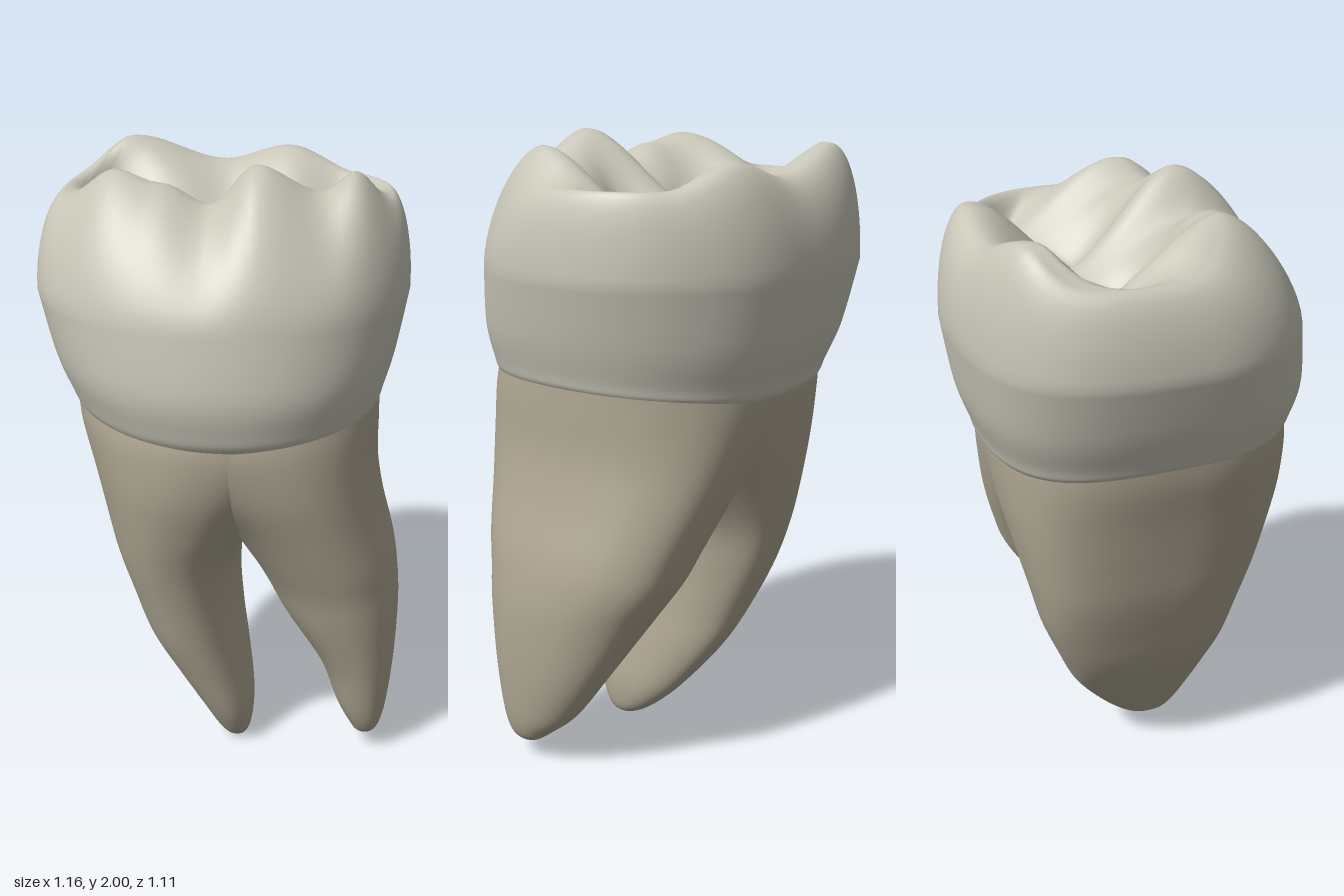
import * as THREE from 'three';

const SEG = 112;

// Rounded-box outline: row = [y, xMin, xMax, zMin, zMax], fuller at the back right corner
function outline(row, a, n0 = 2.15) {
  const [, x0, x1, z0, z1] = row;
  const c = Math.cos(a), s = Math.sin(a);
  const n = n0 + 0.75 * Math.max(0, -(c + s) * 0.707) ** 2;
  const r = (Math.abs(c) ** n + Math.abs(s) ** n) ** (-1 / n);
  return [(x0 + x1) / 2 + (x1 - x0) / 2 * r * c, (z0 + z1) / 2 + (z1 - z0) / 2 * r * s];
}

// Smooth curve through four values, between b and c
function blend(a, b, c, d, t) {
  const cubic = 3 * (b - c) + d - a;
  const square = 2 * a - 5 * b + 4 * c - d;
  return b + 0.5 * t * (c - a + t * (square + t * cubic));
}

// Smooth subdivision of a list of section rows
function refine(rows, steps) {
  const out = [];
  for (let i = 0; i < rows.length - 1; i++) {
    const p = rows[Math.max(i - 1, 0)], q = rows[i], r = rows[i + 1], s = rows[Math.min(i + 2, rows.length - 1)];
    for (let k = 0; k < steps; k++) {
      out.push(q.map((v, j) => blend(p[j], v, r[j], s[j], k / steps)));
    }
  }
  out.push(rows[rows.length - 1]);
  return out;
}

// Skin a stack of rings, bottom to top; each ring maps an angle to [x, y, z]
function skin(name, rings, color) {
  const pos = [], idx = [];
  rings.forEach((ring, i) => {
    for (let j = 0; j < SEG; j++) {
      pos.push(...ring(j / SEG * Math.PI * 2));
      if (i === rings.length - 1) continue;
      const a = i * SEG + j, b = i * SEG + (j + 1) % SEG;
      idx.push(a, a + SEG, b, b, a + SEG, b + SEG);
    }
  });
  const geo = new THREE.BufferGeometry();
  geo.setAttribute('position', new THREE.Float32BufferAttribute(pos, 3));
  geo.setIndex(idx);
  geo.computeVertexNormals();
  const mesh = new THREE.Mesh(geo, new THREE.MeshStandardMaterial({ color }));
  mesh.name = name;
  return mesh;
}

const ease = t => t * t * (3 - 2 * t);
const clamp01 = t => Math.min(1, Math.max(0, t));

// Eased lookup in a list of [x, value] knots
function lookup(knots, x) {
  let i = 0;
  while (i < knots.length - 2 && x > knots[i + 1][0]) i++;
  const [xa, va] = knots[i], [xb, vb] = knots[i + 1];
  return va + (vb - va) * ease(clamp01((x - xa) / (xb - xa)));
}

// Chewing surface: cusp crests along front and back, and a zigzag valley between
const RIM = [0, -0.5, 0.5, -0.43, 0.22];
const RIM_MID = (RIM[3] + RIM[4]) / 2;
const frontCrest = [[-0.5, 1.86], [-0.31, 1.97], [-0.18, 1.94], [-0.035, 1.885], [0.1, 2], [0.29, 1.915], [0.38, 1.965], [0.5, 1.86]];
const backCrest = [[-0.5, 1.86], [-0.33, 1.96], [-0.03, 1.88], [0.18, 1.93], [0.4, 1.86], [0.5, 1.86]];
const valleyZ = [[-0.5, -0.15], [-0.38, -0.26], [-0.15, -0.07], [0, -0.19], [0.17, -0.1], [0.38, -0.25], [0.5, -0.15]];
const valleyY = [[-0.5, 1.86], [-0.38, 1.75], [-0.15, 1.68], [0, 1.73], [0.17, 1.69], [0.38, 1.76], [0.5, 1.86]];

function chewHeight(x, z) {
  const half = (RIM[4] - RIM[3]) / 2;
  const span = half * (1 - Math.min(1, Math.abs(x) / 0.5) ** 2.4) ** (1 / 2.4);
  const v = Math.min(RIM_MID + span * 0.85, Math.max(RIM_MID - span * 0.85, lookup(valleyZ, x)));
  const front = z > v;
  const edge = front ? RIM_MID + span : RIM_MID - span;
  const t = clamp01((z - v) / (edge - v || 1));
  const low = lookup(valleyY, x), high = lookup(front ? frontCrest : backCrest, x);
  const ripple = front ? 0.012 * Math.sin(x * 30) * Math.sin(Math.PI * t) * (1 - Math.abs(x) * 2) : 0;
  return low + (high - low) * (0.6 * ease(t) + 0.4 * Math.sin(t * Math.PI / 2)) + ripple;
}

function crown() {
  // Wall from the neck to the widest level, with the neck line arching at the sides
  const wall = refine([
    [1.2, -0.435, 0.455, -0.425, 0.485], [1.235, -0.466, 0.488, -0.465, 0.518],
    [1.28, -0.484, 0.5, -0.48, 0.536], [1.4, -0.53, 0.53, -0.52, 0.556],
    [1.6, -0.583, 0.566, -0.552, 0.53]], 6);
  const rings = wall.map(row => a => {
    const [x, z] = outline(row, a);
    return [x, row[0] + 0.04 * Math.cos(a) ** 2 * clamp01((1.6 - row[0]) / 0.4), z];
  });
  // Shoulder rolling over to the crest, sloping more on the front
  const belly = wall[wall.length - 1];
  for (let k = 1; k <= 16; k++) {
    const u = k / 16 * Math.PI / 2, f = Math.sin(u), round = 1 - Math.cos(u);
    rings.push(a => {
      const [bx, bz] = outline(belly, a), [rx, rz] = outline(RIM, a, 2.4);
      const w = 0.5 * ease(clamp01(Math.sin(a)));
      const off = round * (1 - w) + f ** 1.3 * w;
      return [bx + (rx - bx) * off, 1.6 + (chewHeight(rx, rz) - 1.6) * f, bz + (rz - bz) * off];
    });
  }
  // Chewing surface closing in to the middle
  for (let k = 1; k <= 36; k++) {
    const s = 1 - k / 36 * 0.995;
    rings.push(a => {
      const [rx, rz] = outline(RIM, a, 2.4);
      const x = rx * s, z = RIM_MID + (rz - RIM_MID) * s;
      return [x, chewHeight(x, z), z];
    });
  }
  return skin('crown', rings, 0xc8c6b8);
}

// A root: both share the neck section, then part into separate tips
function root(name, rows) {
  const rings = refine(rows, 6).map(row => a => {
    const [x, z] = outline(row, a, 2.2);
    return [x, row[0], z];
  });
  return skin(name, rings, 0xb0a894);
}

export function createModel() {
  const model = new THREE.Group();
  model.name = 'molarTooth';
  model.add(crown());
  model.add(root('rightRoot', [
    [0, 0.052, 0.056, 0.125, 0.13], [0.015, 0.01, 0.08, 0.07, 0.175], [0.06, -0.03, 0.096, 0, 0.21],
    [0.15, -0.085, 0.1, -0.09, 0.25], [0.3, -0.18, 0.08, -0.2, 0.29], [0.44, -0.26, 0.06, -0.265, 0.325],
    [0.6, -0.315, 0.048, -0.33, 0.36], [0.75, -0.36, 0.066, -0.37, 0.4], [0.9, -0.39, 0.15, -0.405, 0.45],
    [1.05, -0.42, 0.27, -0.435, 0.495], [1.2, -0.455, 0.42, -0.452, 0.515], [1.3, -0.465, 0.48, -0.455, 0.5]]));
  model.add(root('leftRoot', [
    [0.055, 0.478, 0.482, 0.16, 0.165], [0.065, 0.45, 0.512, 0.12, 0.205], [0.1, 0.425, 0.535, 0.07, 0.235],
    [0.18, 0.38, 0.555, -0.02, 0.265], [0.34, 0.315, 0.573, -0.13, 0.3], [0.53, 0.19, 0.58, -0.24, 0.345],
    [0.65, 0.124, 0.572, -0.31, 0.37], [0.75, 0.066, 0.555, -0.345, 0.4], [0.9, -0.04, 0.515, -0.39, 0.445],
    [1.05, -0.2, 0.49, -0.425, 0.49], [1.2, -0.38, 0.487, -0.45, 0.513], [1.3, -0.44, 0.485, -0.453, 0.498]]));
  return model;
}
